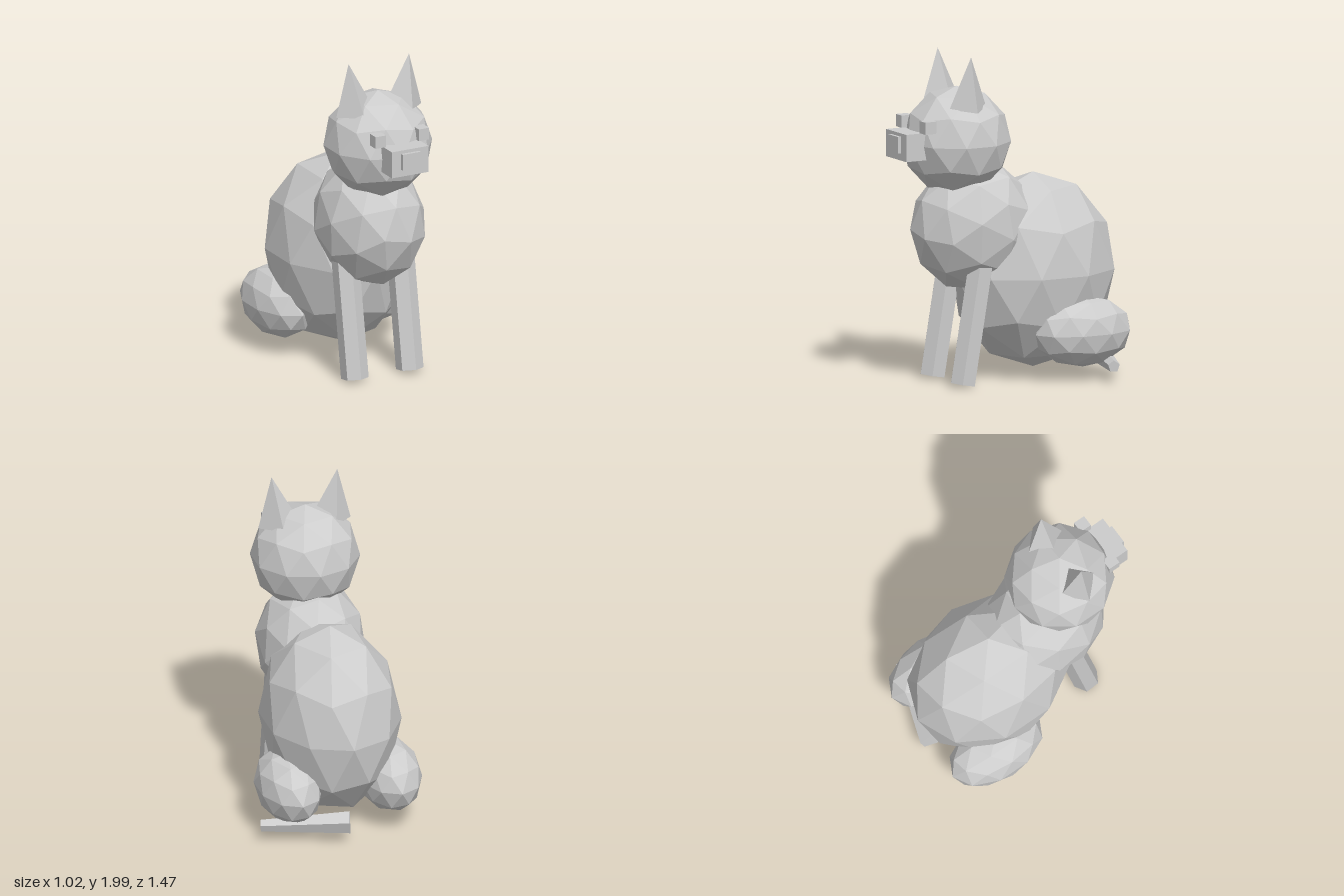
import * as THREE from 'three';

export function createModel() {
  const model = new THREE.Group();
  model.name = 'sittingAnimal';
  const grey = new THREE.MeshStandardMaterial({ color: 0xcccccc, flatShading: true });
  grey.name = 'plainGrey';
  const CX = -0.016; // mirror plane of the body, offset by the tail

  // Adds a faceted mesh at a position
  function add(name, geometry, x, y, z) {
    const g = geometry.index ? geometry.toNonIndexed() : geometry;
    g.computeVertexNormals();
    const mesh = new THREE.Mesh(g, grey);
    mesh.name = name;
    mesh.position.set(x, y, z);
    model.add(mesh);
    return mesh;
  }

  // Low-poly ball with a vertex at each pole, scaled to an ellipsoid
  function ball(rx, ry, rz) {
    const g = new THREE.IcosahedronGeometry(1, 1);
    g.rotateZ(-Math.atan(2 / (1 + Math.sqrt(5))));
    g.scale(rx, ry, rz);
    return g;
  }

  // Main masses
  add('body', ball(0.42, 0.59, 0.52), CX, 0.64, -0.217);
  add('chest', ball(0.33, 0.4, 0.39), CX, 0.938, 0.195).rotation.x = -0.47;
  add('head', ball(0.33, 0.33, 0.33), CX, 1.462, 0.307);

  // Muzzle and nose
  add('muzzle', new THREE.BoxGeometry(0.248, 0.165, 0.2), CX, 1.463, 0.618);
  add('nose', new THREE.BoxGeometry(0.122, 0.1, 0.06), CX, 1.475, 0.708);

  // Paired parts
  for (const [side, s] of [['left', 1], ['right', -1]]) {
    add(side + 'Haunch', ball(0.196, 0.214, 0.32), CX + s * 0.31, 0.293, -0.385);

    const leg = new THREE.CylinderGeometry(0.083, 0.083, 0.85, 6);
    leg.translate(0, 0.425, 0);
    add(side + 'FrontLeg', leg, CX + s * 0.186, 0.015, 0.365).rotation.x = -0.167;

    const ear = new THREE.ConeGeometry(0.125, 0.315, 4);
    ear.translate(0, 0.1575, 0);
    add(side + 'Ear', ear, CX + s * 0.164, 1.682, 0.32).rotation.z = -s * 0.13;

    add(side + 'Eye', new THREE.BoxGeometry(0.07, 0.074, 0.075), CX + s * 0.146, 1.583, 0.582);
  }

  // Tapered five-sided tail curling out to the left, flat side down
  const start = new THREE.Vector3(-0.016, 0.125, -0.64);
  const end = new THREE.Vector3(0.495, 0.1, -0.487);
  const dir = end.clone().sub(start);
  const length = dir.length();
  dir.normalize();
  const across = dir.clone().cross(new THREE.Vector3(0, 1, 0)).normalize();
  const up = across.clone().cross(dir);
  const tail = new THREE.CylinderGeometry(0.037, 0.07, length, 5);
  tail.translate(0, length / 2, 0);
  add('tail', tail, start.x, start.y, start.z)
    .quaternion.setFromRotationMatrix(new THREE.Matrix4().makeBasis(across, dir, up));

  return model;
}
